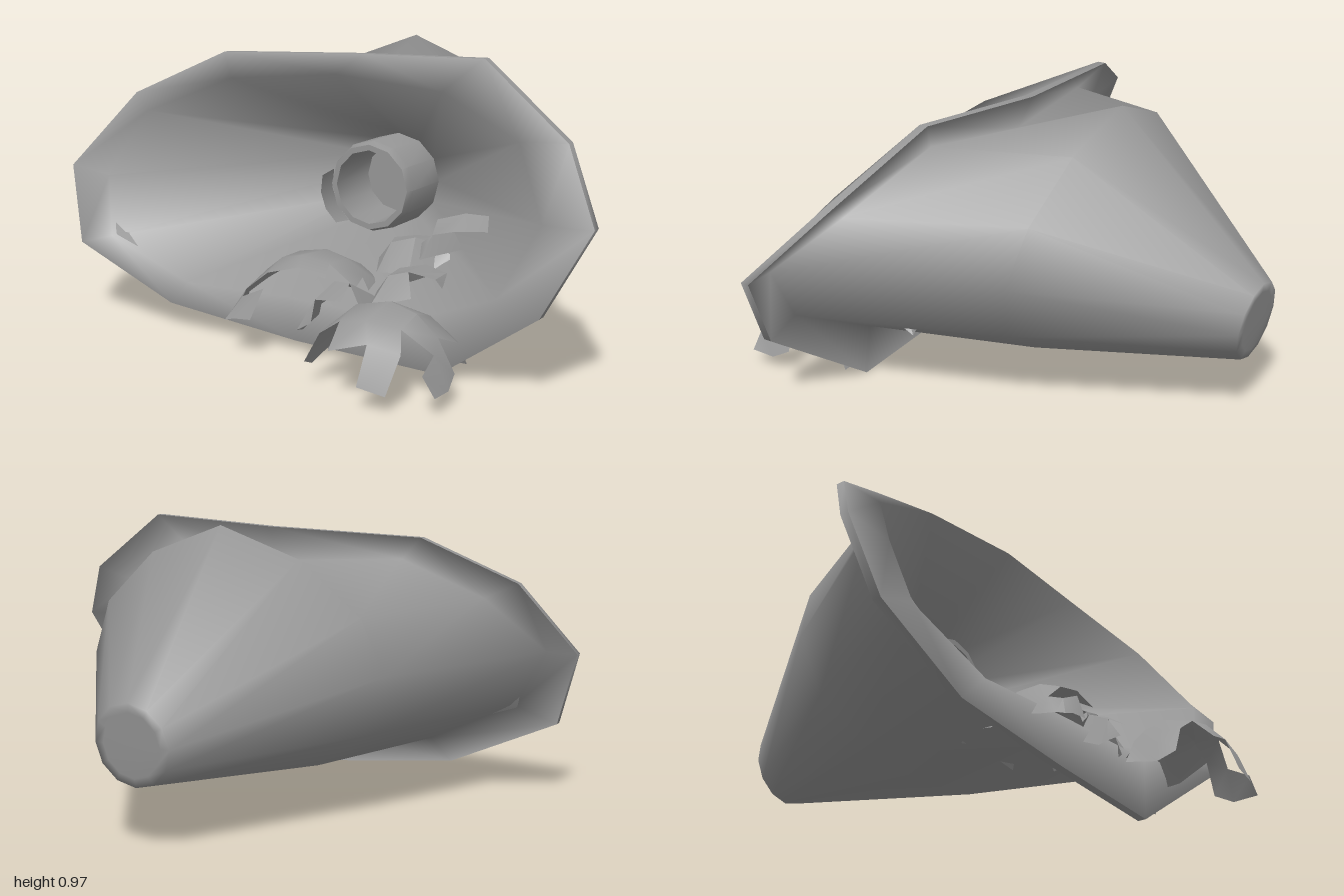
import * as THREE from 'three';
import { toCreasedNormals } from 'three/addons/utils/BufferGeometryUtils.js';

const grey = new THREE.MeshStandardMaterial({ color: 0x969696, side: THREE.DoubleSide });

// Outer edge of the rim, clockwise seen from the front
const RIM = [
  [-1, 0.52, 0.37], [-0.84, 0.77, 0.2], [-0.54, 0.92, 0.08], [0, 0.94, 0.04],
  [0.49, 0.96, 0.11], [0.84, 0.74, 0.25], [1, 0.53, 0.43], [0.86, 0.26, 0.49],
  [0.49, 0.005, 0.41], [-0.03, 0.035, 0.42], [-0.54, 0.09, 0.42], [-0.92, 0.26, 0.43],
];
// Front crest, where the rim turns into the reflector
const CREST = [
  [-0.83, 0.5, 0.41], [-0.74, 0.72, 0.29], [-0.42, 0.85, 0.24], [0, 0.89, 0.24],
  [0.39, 0.86, 0.24], [0.7, 0.74, 0.33], [0.84, 0.53, 0.47], [0.72, 0.3, 0.52],
  [0.4, 0.18, 0.5], [-0.02, 0.19, 0.48], [-0.45, 0.18, 0.47], [-0.78, 0.3, 0.46],
];
// Where the housing meets the back of the rim: wide at the tips, narrow elsewhere
const SHOULDER = [
  [-0.89, 0.52, 0.38], [-0.71, 0.71, 0.24], [-0.45, 0.84, 0.14], [0, 0.82, 0.1],
  [0.41, 0.86, 0.16], [0.71, 0.69, 0.28], [0.89, 0.53, 0.44], [0.73, 0.3, 0.5],
  [0.41, 0.14, 0.45], [-0.02, 0.14, 0.45], [-0.45, 0.16, 0.44], [-0.76, 0.31, 0.45],
];
// Tallest section of the housing
const MID = [
  [-0.54, 0.5], [-0.47, 0.69], [-0.27, 0.87], [0, 0.97], [0.27, 0.87], [0.47, 0.69],
  [0.55, 0.5], [0.48, 0.3], [0.28, 0.17], [0, 0.13], [-0.28, 0.17], [-0.48, 0.3],
].map(([x, y]) => [x, y, -0.12 - 0.195 * y]);

function ellipse(cx, cy, rx, ry, z) {
  return RIM.map((_, i) => {
    const a = Math.PI - (i / 12) * Math.PI * 2;
    const y = cy + ry * Math.sin(a);
    return [cx + rx * Math.cos(a), y, z(y)];
  });
}

// Skin a list of closed rings, optionally closing the last one
function loft(rings, cap = false) {
  const n = rings[0].length, index = [];
  const points = rings.flat();
  for (let r = 0; r < rings.length - 1; r++) {
    for (let j = 0; j < n; j++) {
      const a = r * n + j, b = r * n + ((j + 1) % n);
      index.push(a, b, a + n, b, b + n, a + n);
    }
  }
  if (cap) {
    const s = (rings.length - 1) * n;
    for (let j = 1; j < n - 1; j++) index.push(s, s + j, s + j + 1);
  }
  const g = new THREE.BufferGeometry();
  g.setAttribute('position', new THREE.Float32BufferAttribute(points.flat(), 3));
  g.setIndex(index);
  g.computeVertexNormals();
  return g;
}

// Curved glass fragment: the filled cells of a mask, wrapped over a dome
function shard([x, y, z], [w, h, d], mask, turn = 0, tilt = 0) {
  const rows = mask.length, cols = mask[0].length, pos = [];
  const at = (i, j) => {
    const wob = 0.15 * Math.sin(i * 5.1 + j * 3.7);
    const u = ((i + wob) / cols * 2 - 1) * 1.35, v = ((j - wob) / rows * 2 - 1) * 1.35;
    return [w * Math.sin(u), h * (Math.cos(u) * Math.cos(v) - 1), d * Math.sin(v)];
  };
  mask.forEach((row, j) => [...row].forEach((c, i) => {
    if (c !== '#') return;
    const a = at(i, j), b = at(i + 1, j), e = at(i + 1, j + 1), f = at(i, j + 1);
    pos.push(...a, ...f, ...b, ...b, ...f, ...e);
  }));
  const g = new THREE.BufferGeometry();
  g.setAttribute('position', new THREE.Float32BufferAttribute(pos, 3));
  const m = new THREE.Mesh(toCreasedNormals(g, 0.7), grey);
  m.position.set(x, y, z);
  m.rotation.set(tilt, turn, 0);
  return m;
}

export function createModel() {
  const group = new THREE.Group();
  const add = (name, geometry, parent = group) => {
    const m = new THREE.Mesh(geometry, grey);
    m.name = name;
    parent.add(m);
    return m;
  };

  // Reflector cone flowing smoothly into the flared rim
  const throat = ellipse(-0.01, 0.47, 0.155, 0.155, () => -0.21);
  const rimFront = RIM.map(([x, y, z]) => [x, y, z + 0.03]);
  add('reflectorAndRim', loft([throat, CREST, rimFront]));

  // Thin rim edge and tapered housing with a rounded back end
  const rear = ellipse(0.02, 0.345, 0.13, 0.135, (y) => -0.78 - 0.15 * y);
  const back = ellipse(0.02, 0.345, 0.1, 0.105, (y) => -0.79 - 0.13 * y);
  add('rimEdge', loft([rimFront, RIM]));
  add('housing', loft([RIM, SHOULDER, MID, rear, back], true));

  // Hollow bulb holder with a broken tooth of glass
  const bulb = new THREE.Group();
  bulb.name = 'bulb';
  bulb.position.set(-0.01, 0.47, 0);
  bulb.rotation.x = Math.PI / 2;
  group.add(bulb);
  const profile = [[0.16, -0.25], [0.16, -0.02], [0.15, 0.01], [0.13, 0.01], [0.125, -0.2], [0, -0.2]]
    .map(([r, h]) => new THREE.Vector2(r, h));
  add('bulbHolder', toCreasedNormals(new THREE.LatheGeometry(profile, 12), 0.6), bulb);
  const tooth = add('bulbGlass', new THREE.CylinderGeometry(0.14, 0.155, 0.1, 3, 1, true, -1.9, 1.3), bulb);
  tooth.position.y = 0.05;

  // Broken lens fragments
  const shards = new THREE.Group();
  shards.name = 'glassShards';
  group.add(shards);
  shards.add(
    shard([0, 0.33, 0.38], [0.22, 0.23, 0.22], ['.###..', '.####.', '######', '#####.', '####..', '#.....', '##....']),
    shard([0.41, 0.28, 0.64], [0.24, 0.26, 0.2], ['...##.', '..###.', '#####.', '######', '..##.#', '...#..'], 0.1),
    shard([0.36, 0.33, 0.34], [0.13, 0.14, 0.1], ['.###', '####', '##..'], 0.2),
    shard([0.46, 0.46, 0.25], [0.14, 0.09, 0.08], ['..##', '.###', '##..'], 0.3, 0.5),
    shard([0.17, 0.28, 0.47], [0.1, 0.18, 0.13], ['..#', '.##', '##.', '#..'], -0.2),
    shard([0.27, 0.36, 0.22], [0.13, 0.08, 0.08], ['.##.', '##.#'], 0.2, 0.6),
  );
  return group;
}
